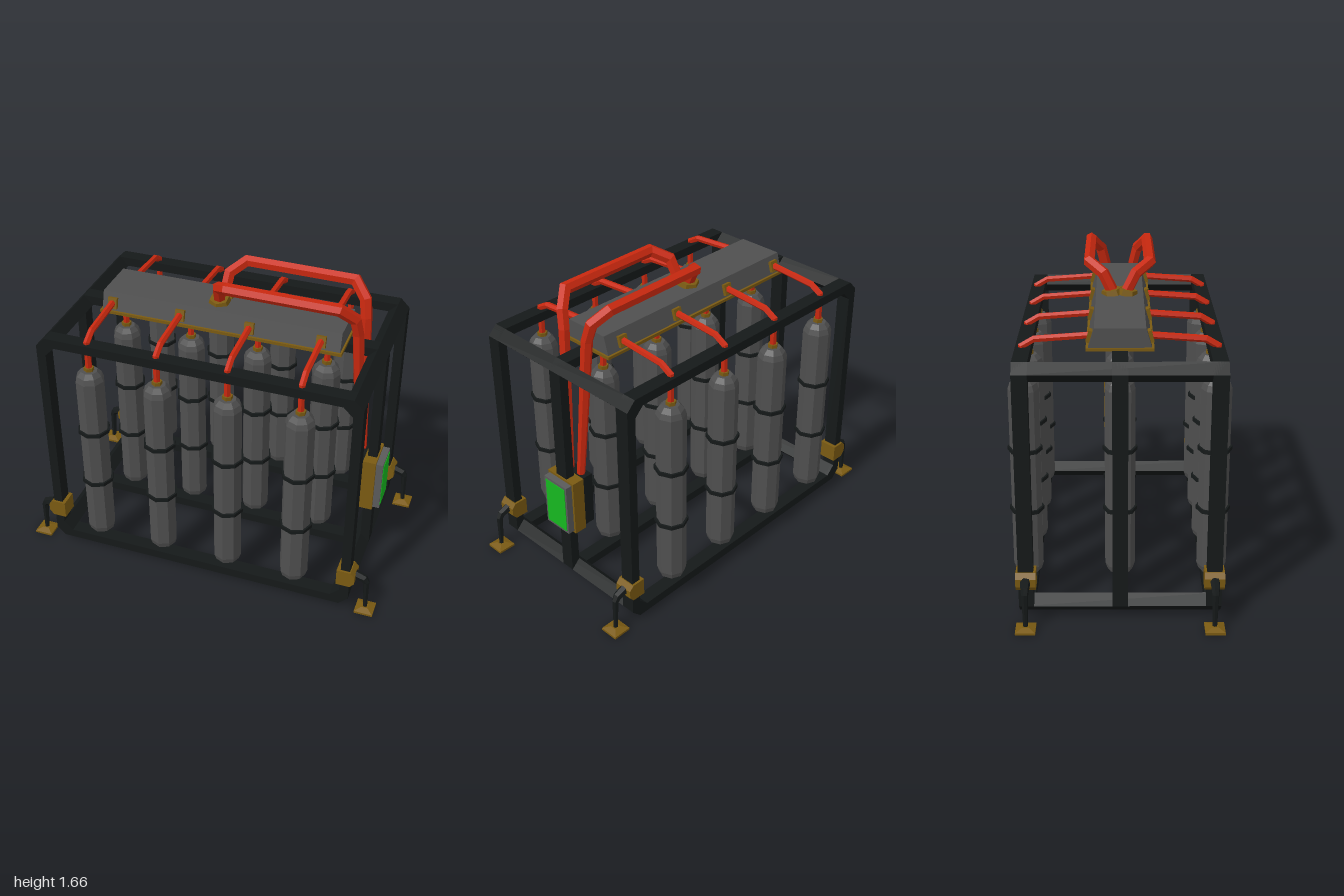
import * as THREE from 'three';

const mat = (color) => new THREE.MeshStandardMaterial({ color, flatShading: true });
const M = {
  frame: mat(0x151919), tank: mat(0x4f4f4f), brass: mat(0x7a5a12),
  hose: mat(0xc8280f), screen: mat(0x16b81f), panel: mat(0x5a5a5a),
};
const V = (x, y, z) => new THREE.Vector3(x, y, z);

export function createModel() {
  const root = new THREE.Group();

  const add = (name, geo, material, x = 0, y = 0, z = 0, parent = root) => {
    const mesh = new THREE.Mesh(geo, material);
    mesh.name = name;
    mesh.position.set(x, y, z);
    parent.add(mesh);
    return mesh;
  };
  const box = (name, material, [x0, x1], [y0, y1], [z0, z1], parent) =>
    add(name, new THREE.BoxGeometry(x1 - x0, y1 - y0, z1 - z0), material,
      (x0 + x1) / 2, (y0 + y1) / 2, (z0 + z1) / 2, parent);

  // Outline in x/y extruded evenly about z = 0
  const prism = (shape, depth) =>
    new THREE.ExtrudeGeometry(shape, { depth, bevelEnabled: false }).translate(0, 0, -depth / 2);
  const poly = (pts) => new THREE.Shape(pts.map(([x, y]) => new THREE.Vector2(x, y)));

  // Faceted pipe with mitred bends; one radius per point
  const pipe = (pts, radii, sides = 6) => {
    const pos = [], idx = [];
    const dirs = pts.slice(1).map((p, i) => p.clone().sub(pts[i]).normalize());
    let u = new THREE.Vector3().crossVectors(dirs[0], V(0.3, 0.2, 1)).cross(dirs[0]).normalize();
    let ring = Array.from({ length: sides }, (_, k) =>
      u.clone().applyAxisAngle(dirs[0], (k / sides) * Math.PI * 2));
    pts.forEach((p, i) => {
      const a = dirs[Math.max(i - 1, 0)], b = dirs[Math.min(i, dirs.length - 1)];
      const n = a.clone().add(b).normalize();
      for (const r of ring) {
        const q = r.clone().addScaledVector(a, -r.dot(n) / a.dot(n));
        pos.push(...q.multiplyScalar(radii[i]).add(p).toArray());
      }
      const turn = new THREE.Quaternion().setFromUnitVectors(a, b);
      ring = ring.map((r) => r.applyQuaternion(turn));
      if (i === 0) return;
      for (let k = 0; k < sides; k++) {
        const k2 = (k + 1) % sides, o = (i - 1) * sides;
        idx.push(o + k, o + k2, o + sides + k2, o + k, o + sides + k2, o + sides + k);
      }
    });
    const last = (pts.length - 1) * sides;
    for (let k = 1; k < sides - 1; k++) idx.push(0, k + 1, k, last, last + k, last + k + 1);
    const g = new THREE.BufferGeometry();
    g.setAttribute('position', new THREE.Float32BufferAttribute(pos, 3));
    g.setIndex(idx);
    g.computeVertexNormals();
    return g;
  };

  // Three chamfered frame loops
  const loop = (x, y0, y1, c) => [
    [-x + c, y0], [x - c, y0], [x, y0 + c], [x, y1 - c],
    [x - c, y1], [-x + c, y1], [-x, y1 - c], [-x, y0 + c],
  ];
  const loopShape = poly(loop(0.86, 0.03, 1.36, 0.05));
  loopShape.holes.push(poly(loop(0.81, 0.08, 1.31, 0.05)));
  for (const z of [-0.47, 0, 0.47]) add('frameLoop', prism(loopShape, 0.076), M.frame, 0, 0, z);

  // Diamond-section cross bars joining the loop corners
  const diamond = poly([[0.05, 0], [0, 0.05], [-0.05, 0], [0, -0.05]]);
  for (const x of [-0.81, 0.81])
    for (const y of [0.08, 1.31]) add('crossBar', prism(diamond, 1.015), M.frame, x, y, 0);

  // Tanks in three rows, each with bands, a neck nut and a feed pipe
  const tankGeo = new THREE.LatheGeometry(
    [[0, 0.13], [0.045, 0.13], [0.067, 0.148], [0.077, 0.18], [0.077, 1.145], [0.067, 1.175], [0.045, 1.2], [0, 1.2]]
      .map(([r, y]) => new THREE.Vector2(r, y)), 8);
  const bandGeo = new THREE.CylinderGeometry(0.088, 0.088, 0.02, 8);
  const nutGeo = new THREE.CylinderGeometry(0.027, 0.027, 0.025, 6);
  for (const x of [-0.585, -0.208, 0.168, 0.545]) {
    for (const s of [-1, 0, 1]) {
      const g = new THREE.Group();
      g.name = 'tankUnit';
      g.position.set(x, 0, s * 0.475);
      root.add(g);
      add('tank', tankGeo, M.tank, 0, 0, 0, g);
      for (const y of [0.5, 0.83]) add('tankBand', bandGeo, M.frame, 0, y, 0, g);
      add('neckNut', nutGeo, M.brass, 0, 1.207, 0, g);
      const path = s === 0
        ? [V(0, 1.2, 0), V(0, 1.37, 0)]
        : [V(0, 1.2, 0), V(0, 1.365, 0), V(0, 1.4, -s * 0.06), V(0, 1.42, -s * 0.335)];
      add('feedPipe', pipe(path, path.map(() => 0.018)), M.hose, 0, 0, 0, g);
      if (s === 0) continue;
      const fit = add('manifoldFitting', new THREE.BoxGeometry(0.05, 0.06, 0.035), M.brass, 0, 1.415, -s * 0.333, g);
      fit.rotation.x = -s * 0.25;
    }
  }

  // Manifold: brass base plate and tapered housing
  box('manifoldPlate', M.brass, [-0.655, 0.655], [1.358, 1.374], [-0.165, 0.165]);
  const housing = poly([[-0.153, 1.374], [0.153, 1.374], [0.125, 1.47], [-0.125, 1.47]]);
  add('manifoldHousing', prism(housing, 1.29).rotateY(Math.PI / 2), M.tank);

  // Pair of main hoses from the manifold to the control box
  for (const s of [-1, 1]) {
    const path = [
      V(-0.03, 1.47, s * 0.03), V(-0.02, 1.58, s * 0.085), V(0.05, 1.625, s * 0.16),
      V(0.63, 1.62, s * 0.16), V(0.7, 1.55, s * 0.105), V(0.715, 1.46, s * 0.083), V(0.765, 0.66, s * 0.04),
    ];
    add('mainHose', pipe(path, [0.032, 0.032, 0.032, 0.032, 0.032, 0.031, 0.022]), M.hose);
    const collar = add('hoseCollar', new THREE.CylinderGeometry(0.052, 0.06, 0.03, 6), M.brass, -0.03, 1.483, s * 0.04);
    collar.rotation.x = s * 0.2;
  }

  // Control box with framed screen
  const panel = new THREE.Group();
  panel.name = 'controlBox';
  root.add(panel);
  box('rearHousing', M.frame, [0.73, 0.797], [0.38, 0.68], [-0.085, 0.085], panel);
  box('mountPlate', M.brass, [0.797, 0.868], [0.37, 0.687], [-0.096, 0.096], panel);
  box('screenBezel', M.panel, [0.868, 0.905], [0.382, 0.675], [-0.084, 0.084], panel);
  box('screen', M.screen, [0.9, 0.908], [0.396, 0.66], [-0.072, 0.072], panel);

  // Outrigger feet on the four corner posts
  const clampShape = poly([
    [0.79, 0.178], [0.865, 0.178], [0.888, 0.205], [0.888, 0.248], [0.865, 0.275], [0.79, 0.275],
  ]);
  const armPath = [V(0.88, 0.235, 0), V(0.93, 0.218, 0), V(0.944, 0.195, 0), V(0.95, 0.015, 0)];
  for (const side of [0, Math.PI])
    for (const z of [-0.47, 0.47]) {
      const foot = new THREE.Group();
      foot.name = 'outrigger';
      foot.rotation.y = side;
      foot.position.z = z;
      root.add(foot);
      add('clamp', prism(clampShape, 0.1), M.brass, 0, 0, 0, foot);
      add('arm', pipe(armPath, [0.026, 0.022, 0.018, 0.012]), M.frame, 0, 0, 0, foot);
      box('footPlate', M.brass, [0.9, 1], [0, 0.012], [-0.05, 0.05], foot);
      add('footCap', new THREE.CylinderGeometry(0.025, 0.07, 0.012, 4, 1, false, Math.PI / 4), M.brass, 0.95, 0.018, 0, foot);
    }

  return root;
}
